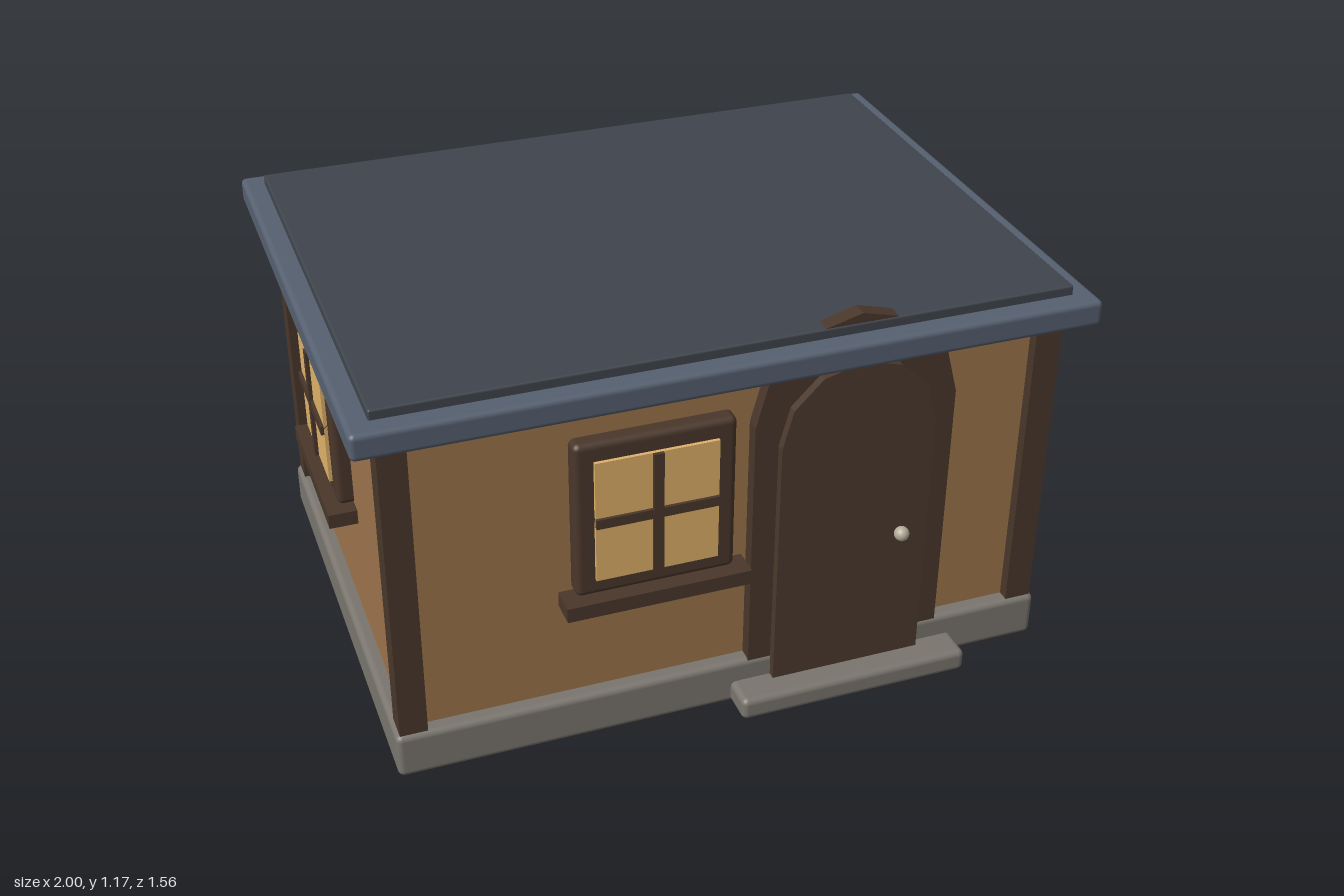
import * as THREE from 'three';
import { RoundedBoxGeometry } from 'three/addons/geometries/RoundedBoxGeometry.js';

const paint = (color) => new THREE.MeshStandardMaterial({ color });
const STONE = paint(0x7a756e), WALL = paint(0x9c744c), TRIM = paint(0x4a372b);
const DOOR = paint(0x4c3a2e), SLATE = paint(0x566070), ROOF = paint(0x40454d);
const GLASS = paint(0xe0b169), METAL = paint(0xb5ad98);

function add(parent, name, geometry, material, x = 0, y = 0, z = 0) {
  const mesh = new THREE.Mesh(geometry, material);
  mesh.name = name;
  mesh.position.set(x, y, z);
  parent.add(mesh);
  return mesh;
}

// Box given by its limits on each axis; a radius rounds its edges
function block(parent, name, material, [x0, x1], [y0, y1], [z0, z1], radius = 0) {
  const size = [x1 - x0, y1 - y0, z1 - z0];
  const geometry = radius
    ? new RoundedBoxGeometry(...size, 3, radius)
    : new THREE.BoxGeometry(...size);
  return add(parent, name, geometry, material, (x0 + x1) / 2, (y0 + y1) / 2, (z0 + z1) / 2);
}

// Slab with straight sides and a faceted half-round top, centred on x = 0
function archSlab(radius, bottom, spring, depth) {
  const shape = new THREE.Shape();
  shape.moveTo(-radius, bottom);
  shape.lineTo(radius, bottom);
  for (let i = 0; i <= 6; i++) {
    const a = (i / 6) * Math.PI;
    shape.lineTo(radius * Math.cos(a), spring + radius * Math.sin(a));
  }
  shape.closePath();
  return new THREE.ExtrudeGeometry(shape, { depth, bevelEnabled: false });
}

// Window facing +z, with the wall plane at z = 0 and its centre at the origin
function makeWindow(name, w, h) {
  const group = new THREE.Group();
  group.name = name;
  const pw = w / 2 - 0.052, ph = h / 2 - 0.052;
  block(group, 'windowFrame', TRIM, [-w / 2, w / 2], [-h / 2, h / 2], [-0.02, 0.045], 0.018);
  block(group, 'windowPane', GLASS, [-pw, pw], [-ph, ph], [0, 0.055]);
  block(group, 'verticalBar', TRIM, [-0.014, 0.014], [-ph, ph], [0.04, 0.065]);
  block(group, 'horizontalBar', TRIM, [-pw, pw], [-0.014, 0.014], [0.04, 0.064]);
  block(group, 'windowSill', TRIM, [-w / 2 - 0.036, w / 2 + 0.036],
    [-h / 2 - 0.043, -h / 2], [-0.01, 0.08]);
  return group;
}

export function createModel() {
  const house = new THREE.Group();
  house.name = 'cottage';

  // Foundation, walls and doorstep
  block(house, 'foundation', STONE, [-0.94, 0.94], [0, 0.135], [-0.717, 0.683], 0.018);
  block(house, 'walls', WALL, [-0.9, 0.9], [0.12, 1.012], [-0.68, 0.64]);
  block(house, 'doorstep', STONE, [0, 0.675], [0.003, 0.07], [0.62, 0.777], 0.018);

  // Corner posts
  for (const side of [-1, 1]) {
    for (const z of [-0.67, 0.634]) {
      const x = side * 0.89;
      block(house, 'cornerPost', TRIM, [x - 0.038, x + 0.038], [0.13, 1.012], [z - 0.038, z + 0.038]);
    }
  }

  // Flat roof: wide eaves slab with a thinner cap
  block(house, 'eaves', SLATE, [-1, 1], [1.042, 1.116], [-0.778, 0.742], 0.015);
  block(house, 'roofCap', ROOF, [-0.94, 0.94], [1.1, 1.143], [-0.717, 0.683], 0.006);

  // Arched door, its surround and knob
  add(house, 'doorSurround', archSlab(0.285, 0.13, 0.885, 0.045), TRIM, 0.335, 0, 0.635);
  add(house, 'door', archSlab(0.219, 0.065, 0.822, 0.055), DOOR, 0.335, 0, 0.65);
  add(house, 'doorKnob', new THREE.SphereGeometry(0.021, 20, 14), METAL, 0.472, 0.486, 0.721);

  // Windows on the front and on both sides
  const front = makeWindow('frontWindow', 0.44, 0.465);
  front.position.set(-0.22, 0.701, 0.64);
  house.add(front);
  for (const side of [-1, 1]) {
    const win = makeWindow(side > 0 ? 'leftWindow' : 'rightWindow', 0.418, 0.435);
    win.position.set(side * 0.9, 0.727, -0.09);
    win.rotation.y = (side * Math.PI) / 2;
    house.add(win);
  }
  return house;
}
